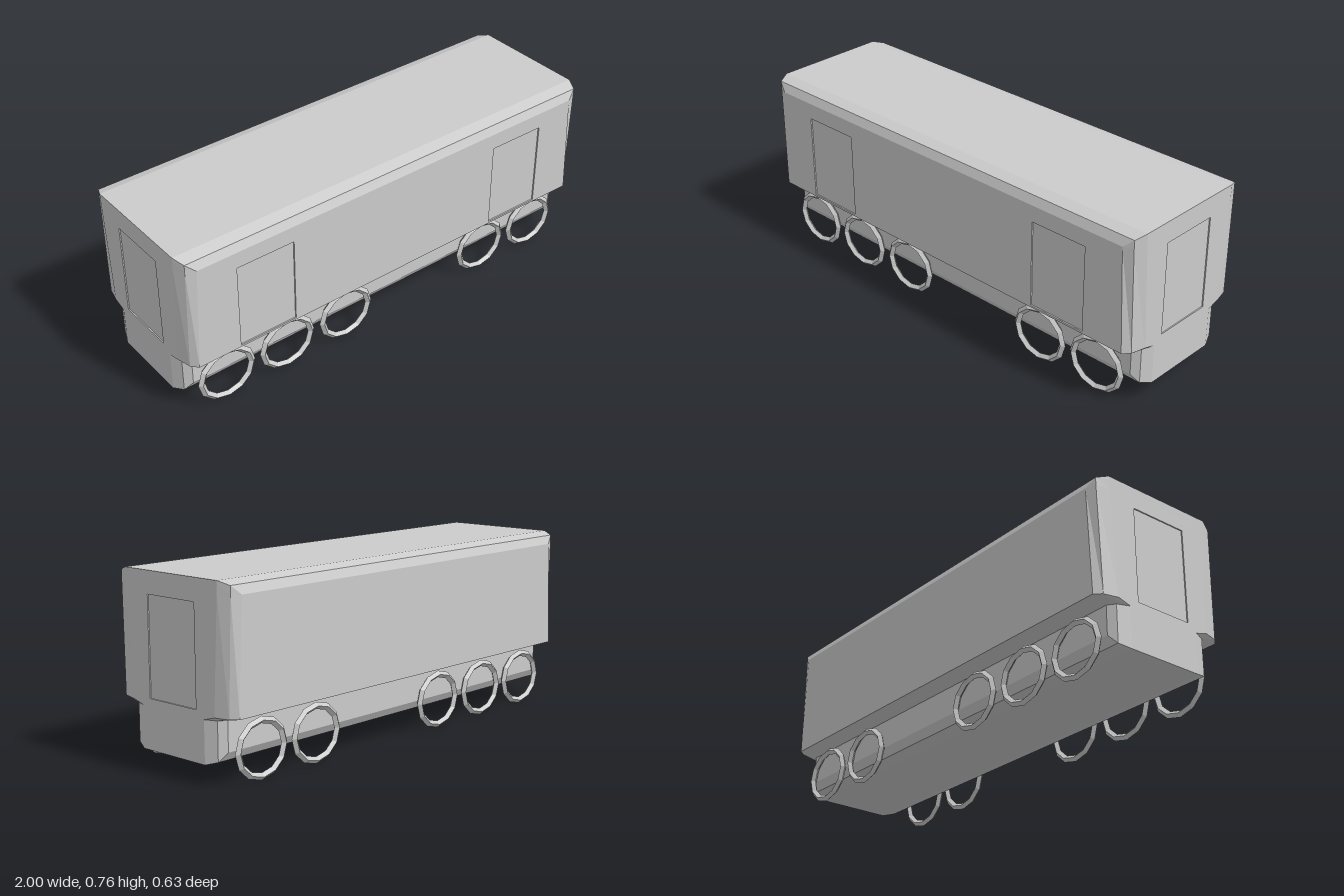
import * as THREE from 'three';

const material = new THREE.MeshStandardMaterial({ color: 0xcccccc, flatShading: true });

// Cross-sections from bottom to top: y, then one corner as [x, z] at end, middle and side
const SECTIONS = [
  [0.08, [1, 0.17], [1, 0.17], [1, 0.17]],
  [0.095, [1, 0.17], [0.98, 0.22], [0.98, 0.22]],
  [0.13, [1, 0.17], [0.98, 0.22], [0.95, 0.242]],
  [0.25, [1, 0.17], [0.98, 0.22], [0.95, 0.242]],
  [0.266, [1, 0.226], [0.985, 0.288], [0.96, 0.316]],
  [0.715, [1, 0.25], [0.98, 0.3], [0.94, 0.316]],
  [0.75, [1, 0.252], [0.98, 0.3], [0.98, 0.3]],
  [0.765, [1, 0.252], [1, 0.252], [1, 0.252]],
];
const WALL = 4; // the band between sections 4 and 5 carries the doors

// Mirror one corner into a closed ring of 12 points
function ring([y, ...corner]) {
  const back = [...corner].reverse();
  const place = (list, sx, sz) => list.map(([x, z]) => new THREE.Vector3(sx * x, y, sz * z));
  return [...place(corner, 1, 1), ...place(back, -1, 1), ...place(corner, -1, -1), ...place(back, 1, -1)];
}

// Chamfered hull; the two ends and the front wall stay open for the door panels
function hullGeometry() {
  const rings = SECTIONS.map(ring);
  const points = [];
  const tri = (a, b, c) => {
    const area = b.clone().sub(a).cross(c.clone().sub(a)).length();
    if (area > 1e-7) points.push(a, b, c);
  };
  for (let k = 0; k < rings.length - 1; k++) {
    for (let i = 0; i < 12; i++) {
      if (k === WALL && [2, 5, 11].includes(i)) continue;
      const j = (i + 1) % 12;
      const [low, high] = [rings[k], rings[k + 1]];
      tri(low[i], high[i], high[j]);
      tri(low[i], high[j], low[j]);
    }
  }
  const [floor, roof] = [rings[0], rings[rings.length - 1]];
  for (let i = 1; i < 11; i++) {
    tri(floor[0], floor[i], floor[i + 1]);
    tri(roof[0], roof[i + 1], roof[i]);
  }
  const geometry = new THREE.BufferGeometry().setFromPoints(points);
  geometry.computeVertexNormals();
  return geometry;
}

function add(parent, name, geometry) {
  const mesh = new THREE.Mesh(geometry, material);
  mesh.name = name;
  parent.add(mesh);
  return mesh;
}

// Wall panel facing +z with shallow recessed doors; a door is [x0, x1, y0, y1]
function doorWall(name, lowHalf, highHalf, doors, depth) {
  const group = new THREE.Group();
  group.name = name;
  const [y0, y1] = [SECTIONS[WALL][0], SECTIONS[WALL + 1][0]];
  const corners = [[-lowHalf, y0], [lowHalf, y0], [highHalf, y1], [-highHalf, y1]];
  const shape = new THREE.Shape(corners.map(([x, y]) => new THREE.Vector2(x, y)));
  for (const [l, r, b, t] of doors) {
    const outline = [[l, b], [l, t], [r, t], [r, b]];
    shape.holes.push(new THREE.Path(outline.map(([x, y]) => new THREE.Vector2(x, y))));
    add(group, 'door', new THREE.PlaneGeometry(r - l, t - b))
      .position.set((l + r) / 2, (b + t) / 2, -depth);
  }
  const panel = new THREE.ExtrudeGeometry(shape, { depth, bevelEnabled: false });
  add(group, 'wallPanel', panel.translate(0, 0, -depth));
  return group;
}

export function createModel() {
  const model = new THREE.Group();
  model.name = 'railCar';
  add(model, 'body', hullGeometry());

  // Front wall with two side doors
  const front = doorWall('frontWall', 0.96, 0.94,
    [[-0.77, -0.51, 0.275, 0.645], [0.51, 0.77, 0.275, 0.645]], 0.006);
  front.position.z = 0.316;
  model.add(front);

  // End walls, each with a gangway door
  for (const side of [1, -1]) {
    const end = doorWall(side > 0 ? 'leftEndWall' : 'rightEndWall', 0.226, 0.25,
      [[-0.128, 0.128, 0.28, 0.675]], 0.005);
    end.rotation.y = side * Math.PI / 2;
    end.position.x = side;
    model.add(end);
  }

  // Open wheel rims, three at one end and two at the other, on both sides
  const rim = new THREE.TorusGeometry(0.108, 0.014, 4, 12).scale(1.09, 1, 1);
  for (const z of [0.264, -0.264]) {
    for (const x of [-0.81, -0.52, -0.225, 0.515, 0.805]) {
      add(model, 'wheelRim', rim).position.set(x, 0.122, z);
    }
  }
  return model;
}
